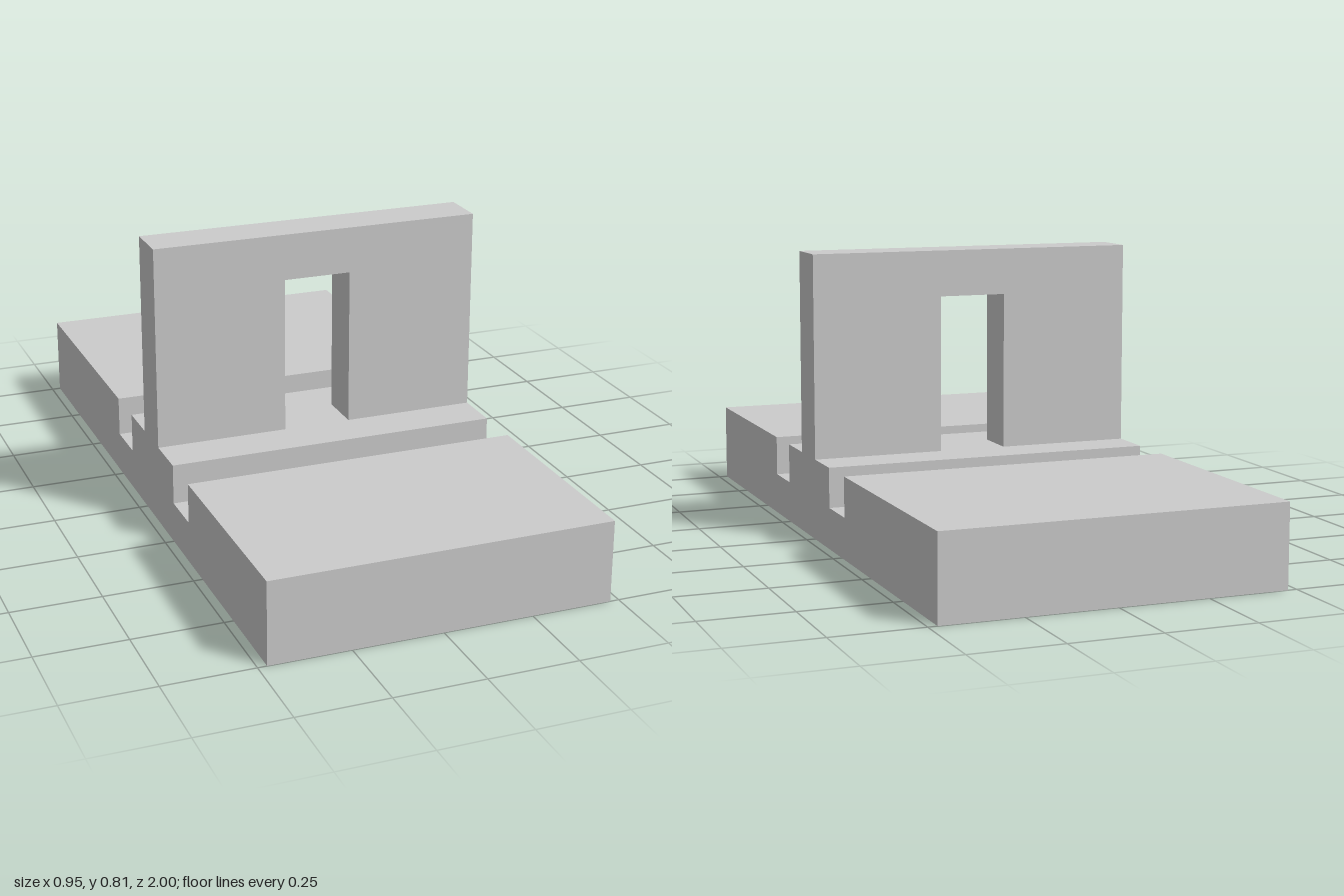
import * as THREE from 'three';

const HALF_WIDTH = 0.475;
const BASE_TOP = 0.23;
const SLOT_FLOOR = 0.117;
const WALL_TOP = 0.808;

function extrude(points, depth) {
  const shape = new THREE.Shape(points.map(([x, y]) => new THREE.Vector2(x, y)));
  return new THREE.ExtrudeGeometry(shape, { depth, bevelEnabled: false });
}

export function createModel() {
  const group = new THREE.Group();
  group.name = 'slottedBaseWithGate';
  const material = new THREE.MeshStandardMaterial({ color: 0xcccccc, flatShading: true });

  function add(name, geometry) {
    const mesh = new THREE.Mesh(geometry, material);
    mesh.name = name;
    group.add(mesh);
  }

  // Base slab: side profile (z, y) with two cross slots, extruded across x
  const profile = [[-1, 0], [1, 0], [1, BASE_TOP]];
  for (const [front, back] of [[0.388, 0.255], [-0.14, -0.276]]) {
    profile.push([front, BASE_TOP], [front, SLOT_FLOOR], [back, SLOT_FLOOR], [back, BASE_TOP]);
  }
  profile.push([-1, BASE_TOP]);
  const base = extrude(profile, 2 * HALF_WIDTH);
  base.rotateY(-Math.PI / 2).translate(HALF_WIDTH, 0, 0);
  add('slottedBase', base);

  // Upright wall with a doorway open down to the base
  const door = 0.097, doorTop = 0.677;
  const wall = extrude([
    [-HALF_WIDTH, BASE_TOP], [-door, BASE_TOP], [-door, doorTop], [door, doorTop],
    [door, BASE_TOP], [HALF_WIDTH, BASE_TOP], [HALF_WIDTH, WALL_TOP], [-HALF_WIDTH, WALL_TOP],
  ], 0.131);
  wall.translate(0, 0, -0.009);
  add('gateWall', wall);

  return group;
}
